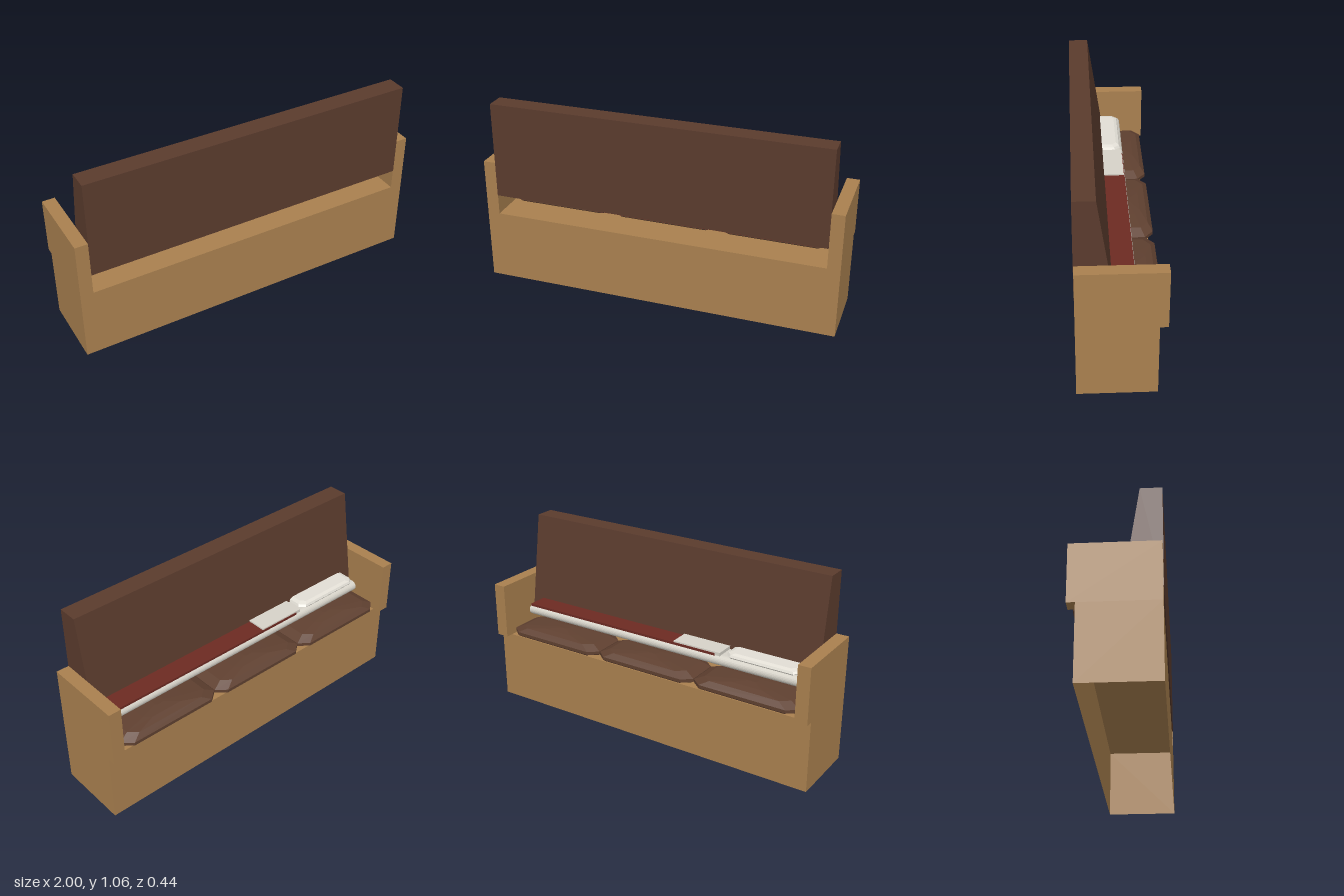
import * as THREE from 'three';

const paint = (name, color, side = THREE.FrontSide) => {
  const m = new THREE.MeshStandardMaterial({ color, side, flatShading: true });
  m.name = name;
  return m;
};

// Chamfered-rectangle rings stacked upwards: each ring is [y, halfX, halfZ, chamferX, chamferZ]
function padGeometry(rings) {
  const pos = [], idx = [];
  for (const [y, a, b, cx, cz] of rings) {
    const loop = [[a, b - cz], [a - cx, b], [-a + cx, b], [-a, b - cz],
      [-a, -b + cz], [-a + cx, -b], [a - cx, -b], [a, -b + cz]];
    for (const [x, z] of loop) pos.push(x, y, z);
  }
  const last = (rings.length - 1) * 8;
  for (let r = 0; r < last; r += 8) {
    for (let i = 0; i < 8; i++) {
      const j = (i + 1) % 8;
      idx.push(r + i, r + 8 + i, r + j, r + j, r + 8 + i, r + 8 + j);
    }
  }
  for (let i = 1; i < 7; i++) {
    idx.push(0, i, i + 1, last, last + i + 1, last + i);
  }
  const g = new THREE.BufferGeometry();
  g.setAttribute('position', new THREE.Float32BufferAttribute(pos, 3));
  g.setIndex(idx);
  g.computeVertexNormals();
  return g;
}

// Extrudes a side profile given as [z, y] points along x
function alongX(shape, x0, x1) {
  const g = new THREE.ExtrudeGeometry(shape, { depth: x1 - x0, bevelEnabled: false, curveSegments: 6 });
  g.rotateY(-Math.PI / 2);
  return g.translate(x1, 0, 0);
}

export function createModel() {
  const group = new THREE.Group();
  const wood = paint('wood', 0xa9804f, THREE.DoubleSide);
  const leather = paint('brown leather', 0x5a3b2d);
  const cushionBrown = paint('cushion brown', 0x5f4030);
  const linen = paint('linen', 0xd6d2c8);
  const pillowWhite = paint('pillow white', 0xe2ded5);
  const red = paint('red blanket', 0x6c2a22);

  const add = (name, geometry, material) => {
    const mesh = new THREE.Mesh(geometry, material);
    mesh.name = name;
    group.add(mesh);
    return mesh;
  };
  const block = (name, material, [x0, x1], [y0, y1], [z0, z1]) => add(name,
    new THREE.BoxGeometry(x1 - x0, y1 - y0, z1 - z0)
      .translate((x0 + x1) / 2, (y0 + y1) / 2, (z0 + z1) / 2), material);

  // Base: hollow box, open underneath
  const base = block('base', wood, [-1, 1], [0, 0.4], [-0.18, 0.22]);
  const faces = Array.from(base.geometry.index.array);
  faces.splice(18, 6);
  base.geometry.setIndex(faces);
  base.geometry.clearGroups();

  // Armrests, overhanging the seat edge
  for (const s of [-1, 1]) {
    block(s > 0 ? 'leftArm' : 'rightArm', wood, s > 0 ? [0.93, 1] : [-1, -0.93], [0.4, 0.712], [-0.222, 0.22]);
  }

  // Wedge-shaped backrest
  const wedge = new THREE.Shape([[0.222, 0.515], [0.222, 1.057], [0.112, 1.057], [0.03, 0.515]]
    .map(([z, y]) => new THREE.Vector2(z, y)));
  add('backrest', alongX(wedge, -0.93, 0.93), leather);

  // Three domed seat cushions
  const cushion = padGeometry([
    [0.415, 0.295, 0.128, 0.055, 0.045],
    [0.422, 0.305, 0.135, 0.055, 0.045],
    [0.44, 0.305, 0.135, 0.055, 0.045],
    [0.466, 0.25, 0.11, 0.05, 0.04],
    [0.478, 0.13, 0.075, 0.04, 0.03],
    [0.486, 0.03, 0.025, 0.01, 0.01],
  ]);
  for (const x of [-0.62, -0.007, 0.607]) {
    add('seatCushion', cushion, cushionBrown).position.set(x, 0, -0.07);
  }

  // Mattress with a rounded long edge
  const r = 0.029;
  const section = new THREE.Shape();
  section.moveTo(0.15, 0.505);
  section.lineTo(0.15, 0.563);
  section.lineTo(-0.08 + r, 0.563);
  section.absarc(-0.08 + r, 0.534, r, Math.PI / 2, Math.PI * 1.5, false);
  section.closePath();
  add('mattress', alongX(section, -0.87, 0.87), linen);

  // Blanket with its hanging far edge, and the folded sheet over it
  block('blanket', red, [-0.385, 0.862], [0.56, 0.573], [-0.074, 0.17]);
  block('blanketDrape', red, [-0.385, 0.862], [0.485, 0.57], [0.155, 0.17]);
  block('foldedSheet', linen, [-0.415, -0.13], [0.562, 0.581], [-0.07, 0.15]);

  // Pillow
  add('pillow', padGeometry([
    [0.555, 0.2, 0.1, 0.03, 0.03],
    [0.568, 0.214, 0.108, 0.03, 0.03],
    [0.58, 0.208, 0.102, 0.03, 0.03],
    [0.588, 0.185, 0.085, 0.025, 0.025],
  ]), pillowWhite).position.set(-0.652, 0, 0.043);

  return group;
}
